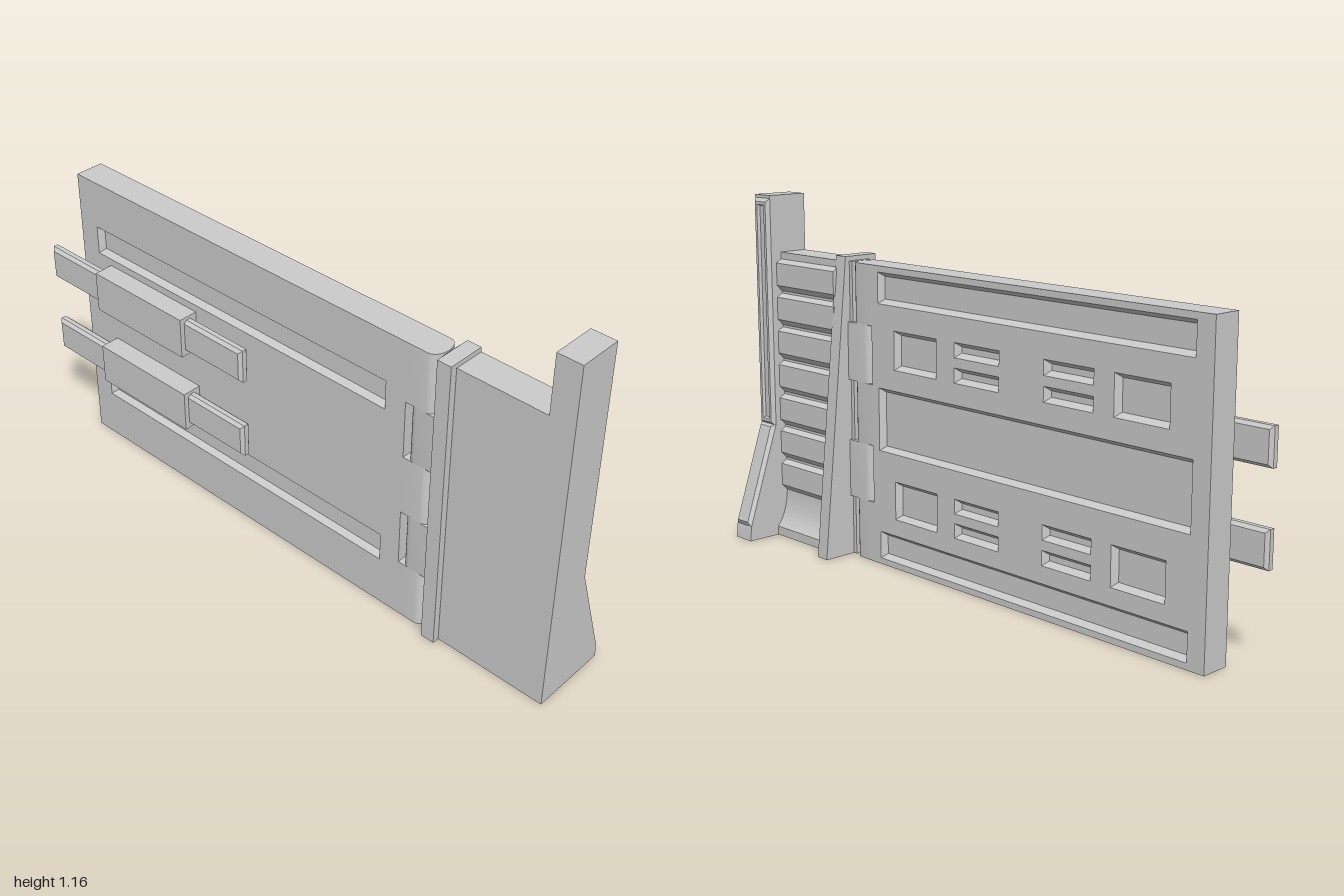
import * as THREE from 'three';
import { toCreasedNormals } from 'three/addons/utils/BufferGeometryUtils.js';

const material = new THREE.MeshStandardMaterial({ color: 0xcccccc });

function add(parent, name, geometry) {
  const mesh = new THREE.Mesh(geometry, material);
  mesh.name = name;
  parent.add(mesh);
  return mesh;
}

function box(x0, x1, y0, y1, z0, z1) {
  return new THREE.BoxGeometry(x1 - x0, y1 - y0, z1 - z0)
    .translate((x0 + x1) / 2, (y0 + y1) / 2, (z0 + z1) / 2);
}

// Rectangle outline as a list of points, counter-clockwise
const rect = ([x0, x1, y0, y1], i = 0) => [
  new THREE.Vector2(x0 + i, y0 + i), new THREE.Vector2(x1 - i, y0 + i),
  new THREE.Vector2(x1 - i, y1 - i), new THREE.Vector2(x0 + i, y1 - i)];

// Extrude a side profile of [z, y] points along x
function sideExtrude(points, x0, x1) {
  const shape = new THREE.Shape(points.map(([z, y]) => new THREE.Vector2(-z, y)));
  const g = new THREE.ExtrudeGeometry(shape, { depth: x1 - x0, bevelEnabled: false });
  return toCreasedNormals(g.rotateY(Math.PI / 2).translate(x0, 0, 0), 0.5);
}

// Nested rectangles given as [inset, z] steps, closed by a flat floor
function steppedPanel(r, steps) {
  const pos = [];
  const quad = (a, b, c, d) => [a, b, c, a, c, d].forEach(p => pos.push(...p));
  const loops = steps.map(([i, z]) => rect(r, i).map(p => [p.x, p.y, z]));
  for (let s = 0; s < loops.length - 1; s++)
    for (let k = 0; k < 4; k++) {
      const n = (k + 1) % 4;
      quad(loops[s][k], loops[s][n], loops[s + 1][n], loops[s + 1][k]);
    }
  quad(...loops[loops.length - 1]);
  const g = new THREE.BufferGeometry();
  g.setAttribute('position', new THREE.Float32BufferAttribute(pos, 3));
  g.computeVertexNormals();
  return g;
}

// Door skin with sloped recesses, outer face at z = 0
function recessedSkin(name, outline, recesses, depth) {
  const group = new THREE.Group();
  group.name = name;
  const shape = new THREE.Shape(rect(outline));
  for (const r of recesses) shape.holes.push(new THREE.Path(rect(r).reverse()));
  add(group, 'skin', new THREE.ExtrudeGeometry(shape, { depth, bevelEnabled: false }).translate(0, 0, -depth));
  for (const r of recesses) add(group, 'recess', steppedPanel(r, [[0, 0], [0.014, -depth + 0.001]]));
  return group;
}

// Hinge tongue with a rounded end; dir is the way the round end points
function tongue(xFlat, xTip, y0, y1) {
  const dir = Math.sign(xTip - xFlat), rx = 0.032, rz = 0.0475;
  const pts = [new THREE.Vector2(xFlat, -rz)];
  for (let k = 0; k <= 12; k++) {
    const a = -Math.PI / 2 + Math.PI * k / 12;
    pts.push(new THREE.Vector2(xTip - dir * rx * (1 - Math.cos(a)), rz * Math.sin(a)));
  }
  pts.push(new THREE.Vector2(xFlat, rz));
  const g = new THREE.ExtrudeGeometry(new THREE.Shape(pts), { depth: y1 - y0, bevelEnabled: false });
  return toCreasedNormals(g.rotateX(-Math.PI / 2).translate(0, y0, 0.0525), 0.6);
}

function createDoor() {
  const door = new THREE.Group();
  door.name = 'door';
  const x0 = -0.89, x1 = 0.462, h = 0.975, d = 0.02;
  add(door, 'doorCore', box(x0, x1, 0, h, 0.005 + d, 0.1 - d));

  const front = recessedSkin('doorFront', [x0, x1, 0, h],
    [[-0.815, 0.39, 0.72, 0.815], [-0.815, 0.39, 0.165, 0.26]], d);
  front.position.z = 0.1;

  // Back: three long recesses, then two rows of squares and paired slots
  const holes = [[-0.83, 0.43, 0.855, 0.955], [-0.83, 0.43, 0.38, 0.585], [-0.83, 0.43, 0.02, 0.11]];
  for (const y of [0.165, 0.652]) {
    for (const x of [0.16, -0.75]) holes.push([x, x + 0.195, y, y + 0.125]);
    for (const x of [-0.11, -0.48])
      for (const dy of [0, 0.078]) holes.push([x, x + 0.19, y + dy, y + dy + 0.047]);
  }
  const flip = ([a, b, c, e]) => [-b, -a, c, e];
  const back = recessedSkin('doorBack', flip([x0, x1, 0, h]), holes.map(flip), d);
  back.rotation.y = Math.PI;
  back.position.z = 0.005;
  door.add(front, back);

  for (const [a, b] of [[0, 0.2], [0.39, 0.59], [0.78, h]])
    add(door, 'doorHingeTongue', tongue(x1, 0.562, a, b));
  return door;
}

// Sliding bolt: chamfered bar through a plain sleeve
function createBolt(y) {
  const bolt = new THREE.Group();
  bolt.name = 'bolt';
  const b = 0.01;
  const bar = new THREE.ExtrudeGeometry(new THREE.Shape(rect([-1, -0.13, y - 0.057, y + 0.057], b)),
    { depth: 0.016, bevelSize: b, bevelThickness: b, bevelSegments: 1 });
  add(bolt, 'boltBar', bar.translate(0, 0, 0.123));
  add(bolt, 'boltSleeve', box(-0.76, -0.37, y - 0.068, y + 0.068, 0.098, 0.165));
  return bolt;
}

function createPost() {
  const post = new THREE.Group();
  post.name = 'hingePost';
  add(post, 'hingeSpine', box(0.566, 0.59, 0, 0.975, 0.015, 0.09));
  for (const [a, b] of [[0.2, 0.39], [0.59, 0.78]])
    add(post, 'postHingeTongue', tongue(0.59, 0.468, a, b));

  // Flange that narrows toward the top
  add(post, 'flange', sideExtrude([[0.125, 0], [0.125, 0.99], [0, 0.99], [-0.1, 0.01], [-0.1, 0]], 0.58, 0.627));

  // Wall with a flared foot and overlapping slats on the back
  const profile = [[0.102, 0], [-0.042, 0], [-0.042, 0.03]];
  const foot = new THREE.QuadraticBezierCurve(
    new THREE.Vector2(-0.042, 0.03), new THREE.Vector2(-0.005, 0.07), new THREE.Vector2(0, 0.15));
  foot.getPoints(8).slice(1).forEach(p => profile.push([p.x, p.y]));
  const step = 0.115;
  for (let k = 0; k < 7; k++) {
    const y = 0.155 + k * step;
    profile.push([0, y], [-0.02, y + 0.02], [-0.02, y + step - 0.02], [0, y + step - 0.008]);
  }
  profile.push([0, 0.975], [0.102, 0.975]);
  add(post, 'slattedWall', sideExtrude(profile, 0.62, 0.925));

  // Buttressed pillar
  add(post, 'pillar', sideExtrude(
    [[0.102, 0], [0.102, 1.165], [-0.04, 1.165], [-0.04, 0.39], [-0.155, 0.05], [-0.16, 0]], 0.92, 1));

  // Chamfered back of the pillar with a long groove
  const rim = add(post, 'pillarGroove', steppedPanel([-0.04, 0.04, 0.385, 1.155],
    [[0, 0], [0.012, 0.011], [0.022, 0.011], [0.026, 0.001]]));
  rim.rotation.y = Math.PI;
  rim.position.set(0.96, 0, -0.04);

  // Chamfered face on the pillar slope
  const slope = new THREE.Vector2(0.115, 0.34), half = slope.length() / 2;
  const face = add(post, 'pillarSlopeFace', steppedPanel([-0.04, 0.04, -half, half], [[0, 0], [0.012, 0.011]]));
  face.position.set(0.96, 0.22, -0.0975);
  face.rotation.order = 'YXZ';
  face.rotation.set(-Math.atan2(slope.x, slope.y), Math.PI, 0);
  return post;
}

export function createModel() {
  const model = new THREE.Group();
  model.name = 'hingedGate';
  model.add(createDoor(), createBolt(0.628), createBolt(0.35), createPost());
  return model;
}
